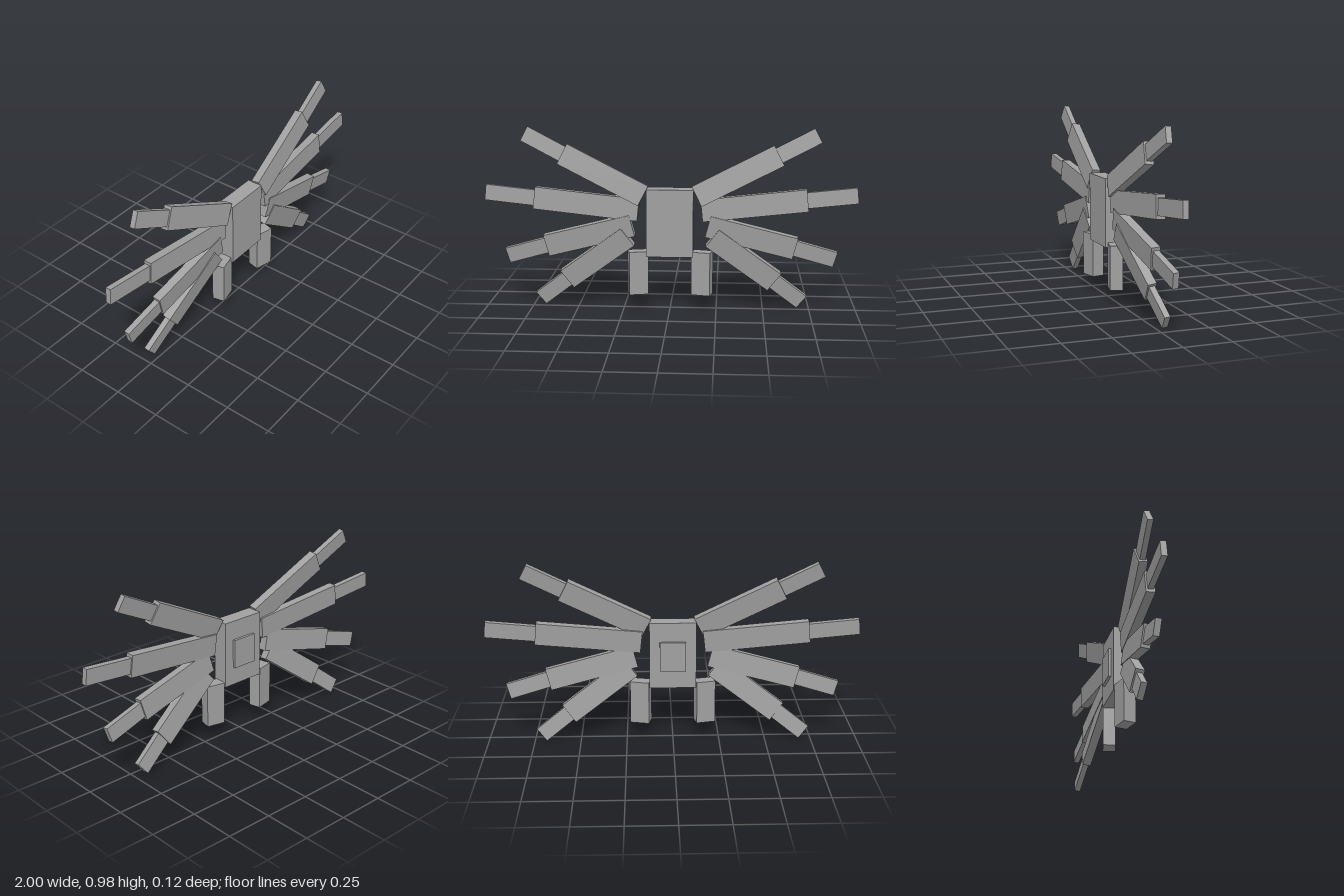
import * as THREE from 'three';

const V = (p) => new THREE.Vector3(...p);

export function createModel() {
  const model = new THREE.Group();
  model.name = 'armBackpack';
  const grey = new THREE.MeshStandardMaterial({ color: 0xa0a0a0 });
  grey.name = 'grey';

  const box = (name, size, pos, parent = model) => {
    const mesh = new THREE.Mesh(new THREE.BoxGeometry(...size), grey);
    mesh.name = name;
    mesh.position.set(...pos);
    parent.add(mesh);
    return mesh;
  };

  // A box running from a to b, its width along the given up direction
  const beam = (name, a, b, up, width, thickness, parent) => {
    const dir = b.clone().sub(a);
    const mid = a.clone().add(b).multiplyScalar(0.5);
    const mesh = box(name, [dir.length(), width, thickness], mid.toArray(), parent);
    const x = dir.normalize();
    const z = x.clone().cross(up).normalize();
    const y = z.clone().cross(x);
    mesh.quaternion.setFromRotationMatrix(new THREE.Matrix4().makeBasis(x, y, z));
  };

  // Torso block and the thin pad on its back
  box('body', [0.25, 0.365, 0.085], [0, 0.4875, 0.0125]);
  box('backPad', [0.14, 0.16, 0.016], [0, 0.485, -0.037]);

  // Arms from top to bottom: root, end of thick part, tip, lean of the broad face
  const arms = [
    { name: 'topArm', root: [0.142, 0.632, 0.026], elbow: [0.574, 0.85, -0.001], tip: [0.778, 0.955, -0.016], lean: -0.125 },
    { name: 'upperArm', root: [0.168, 0.556, 0.02], elbow: [0.728, 0.613, 0], tip: [0.993, 0.64, -0.008], lean: -0.04 },
    { name: 'lowerArm', root: [0.202, 0.473, 0.02], elbow: [0.668, 0.353, -0.001], tip: [0.883, 0.291, -0.013], lean: 0.09 },
    { name: 'bottomArm', root: [0.227, 0.411, 0.018], elbow: [0.561, 0.163, -0.022], tip: [0.711, 0.046, -0.041], lean: 0.14 },
  ];

  for (const side of [1, -1]) {
    const label = side > 0 ? 'Left' : 'Right';
    const mirror = new THREE.Vector3(side, 1, 1);

    for (const { name, root, elbow, tip, lean } of arms) {
      const arm = new THREE.Group();
      arm.name = name + label;
      model.add(arm);
      const [a, b, c] = [root, elbow, tip].map((p) => V(p).multiply(mirror));
      const up = new THREE.Vector3(0, 1, lean);
      beam('armBase', a, b, up, 0.119, 0.047, arm);
      beam('armEnd', b.clone().lerp(c, -0.1), c, up, 0.085, 0.031, arm);
    }

    // Lower post, turned slightly inwards
    const post = box('post' + label, [0.103, 0.236, 0.068], [side * 0.1725, 0.213, 0.0185]);
    post.rotation.y = -side * 0.225;
  }

  return model;
}
